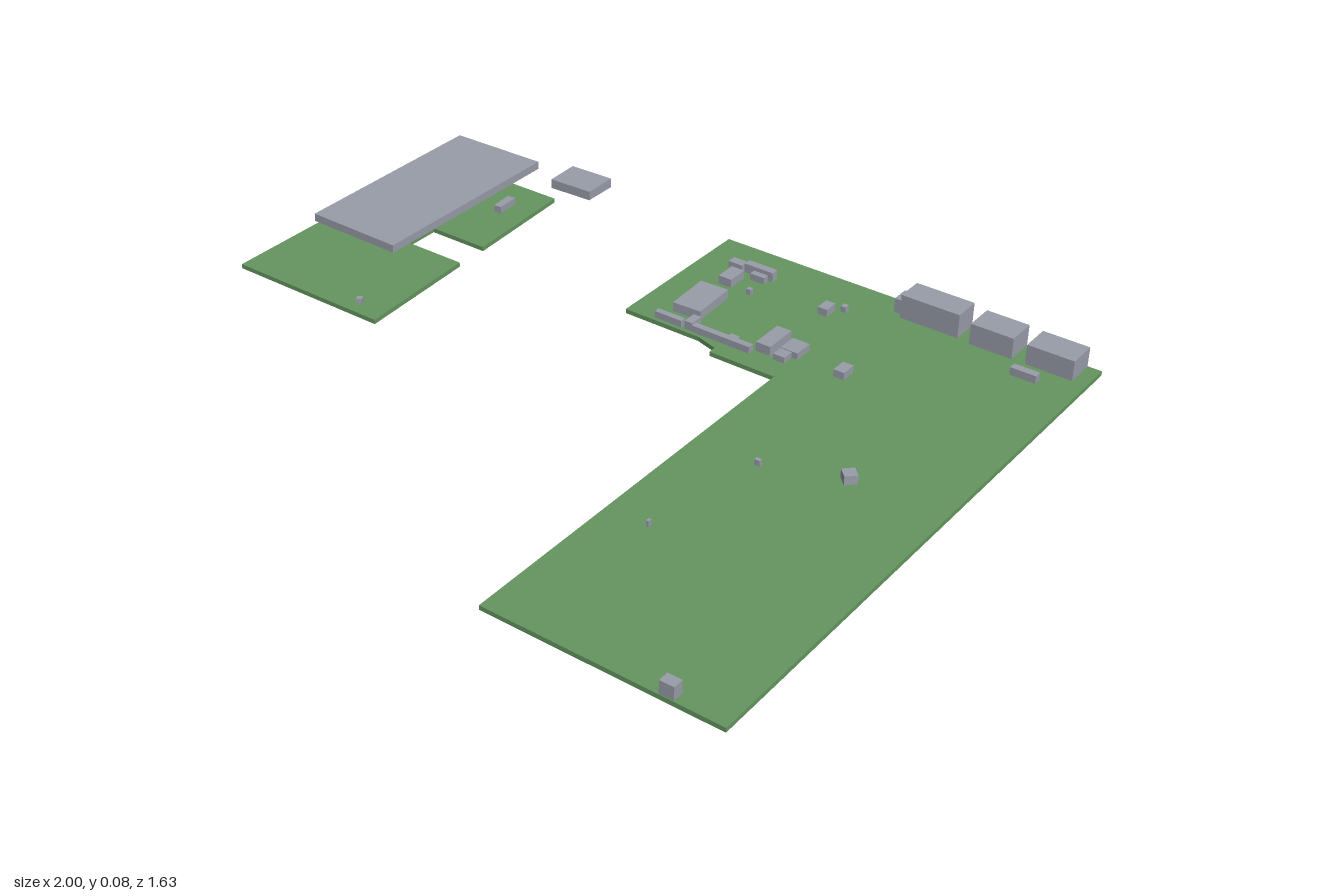
import * as THREE from 'three';

const boardGreen = new THREE.MeshStandardMaterial({ color: 0x64955f });
boardGreen.name = 'boardGreen';
const partGrey = new THREE.MeshStandardMaterial({ color: 0x989ca8 });
partGrey.name = 'partGrey';

const BOARD = 0.012; // board thickness

// Extrude an x/z outline upward from y0 to y1, with an optional hole
function slab(name, outline, y0, y1, material, hole) {
  const toPoints = (pts) => pts.map(([x, z]) => new THREE.Vector2(x, -z));
  const shape = new THREE.Shape(toPoints(outline));
  if (hole) shape.holes.push(new THREE.Path(toPoints(hole)));
  const geometry = new THREE.ExtrudeGeometry(shape, { depth: y1 - y0, bevelEnabled: false });
  geometry.rotateX(-Math.PI / 2).translate(0, y0, 0);
  const mesh = new THREE.Mesh(geometry, material);
  mesh.name = name;
  return mesh;
}

// Box from x/z extents standing on the board, optionally turned
function component(name, x0, x1, z0, z1, top, turn = 0) {
  const mesh = new THREE.Mesh(new THREE.BoxGeometry(x1 - x0, top - BOARD, z1 - z0), partGrey);
  mesh.position.set((x0 + x1) / 2, (top + BOARD) / 2, (z0 + z1) / 2);
  mesh.rotation.y = turn;
  mesh.name = name;
  return mesh;
}

// Cover open at the bottom: a rim of walls below a flat top
function cover(name, corners, y0, y1, wall) {
  const group = new THREE.Group();
  group.name = name;
  const cx = corners.reduce((s, p) => s + p[0], 0) / 4;
  const cz = corners.reduce((s, p) => s + p[1], 0) / 4;
  const inner = corners.map(([x, z]) => [x - Math.sign(x - cx) * wall, z - Math.sign(z - cz) * wall]);
  const split = y1 - 0.006;
  group.add(slab(name + 'Walls', corners, y0, split, partGrey, inner));
  group.add(slab(name + 'Top', corners, split, y1, partGrey));
  return group;
}

export function createModel() {
  const model = new THREE.Group();
  model.name = 'circuitBoards';

  // Large L-shaped board
  model.add(slab('mainBoard', [
    [-0.07, -0.775], [-0.07, -0.318], [0.15, -0.318], [0.21, -0.3], [0.21, -0.278],
    [0.395, -0.278], [0.395, 0.815], [1, 0.815], [1, -0.775],
  ], 0, BOARD, boardGreen));

  // Small notched board
  model.add(slab('sideBoard', [
    [-0.99, -0.675], [-0.99, 0.105], [-0.53, 0.105], [-0.55, -0.245],
    [-0.725, -0.245], [-0.725, -0.345], [-0.555, -0.345], [-0.575, -0.675],
  ], 0, BOARD, boardGreen));

  // Floating covers
  model.add(cover('largeCover',
    [[-1, -0.78], [-1, -0.18], [-0.718, -0.176], [-0.718, -0.785]], 0.014, 0.036, 0.016));
  model.add(cover('smallCover',
    [[-0.62, -0.815], [-0.617, -0.715], [-0.49, -0.72], [-0.49, -0.819]], 0.015, 0.041, 0.018));

  // Ports along the back edge
  [
    [0.465, 0.495, -0.765, -0.715, 0.05],
    [0.492, 0.653, -0.773, -0.698, 0.077],
    [0.688, 0.803, -0.773, -0.692, 0.069],
    [0.839, 0.963, -0.773, -0.692, 0.066],
  ].forEach((p) => model.add(component('backPort', ...p)));

  // Chips and small parts on the main board
  [
    [0.025, 0.105, -0.515, -0.383, 0.037, 0.05],
    [0.013, 0.055, -0.676, -0.65, 0.03],
    [0.06, 0.145, -0.676, -0.654, 0.037],
    [0.093, 0.135, -0.648, -0.63, 0.03],
    [0.04, 0.078, -0.625, -0.565, 0.035],
    [0.126, 0.139, -0.575, -0.562, 0.028],
    [0.32, 0.347, -0.63, -0.59, 0.032],
    [0.36, 0.374, -0.65, -0.634, 0.028],
    [0.295, 0.336, -0.445, -0.35, 0.037],
    [0.35, 0.398, -0.43, -0.375, 0.03],
    [0.35, 0.382, -0.38, -0.342, 0.028],
    [0.505, 0.534, -0.408, -0.365, 0.032],
    [0.01, 0.09, -0.346, -0.329, 0.03],
    [0.1, 0.122, -0.368, -0.329, 0.035],
    [0.122, 0.29, -0.346, -0.328, 0.03],
    [0.22, 0.245, -0.356, -0.34, 0.03],
    [0.832, 0.9, -0.648, -0.627, 0.033],
    [0.744, 0.776, -0.036, -0.004, 0.035, Math.PI / 4],
    [0.56, 0.574, 0.046, 0.056, 0.027],
    [0.505, 0.512, 0.38, 0.39, 0.028],
    [0.842, 0.878, 0.785, 0.813, 0.046],
  ].forEach((p) => model.add(component('chip', ...p)));

  // Parts on the side board
  model.add(component('sideChip', -0.66, -0.638, -0.583, -0.518, 0.031, 0.06));
  model.add(component('sideChip', -0.625, -0.61, 0.056, 0.07, 0.026, 0.5));

  return model;
}
